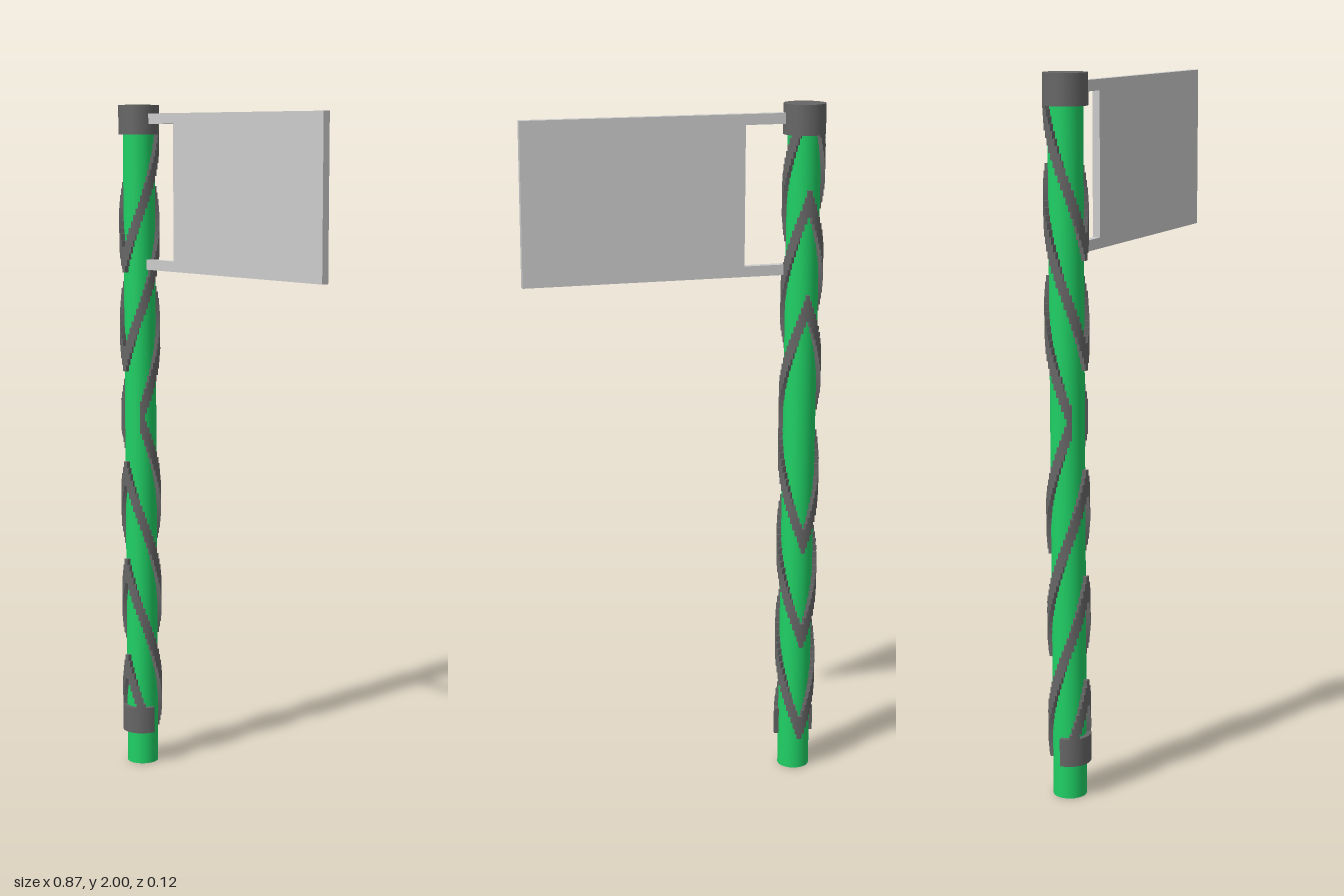
import * as THREE from 'three';
import { mergeGeometries } from 'three/addons/utils/BufferGeometryUtils.js';

const POLE_X = -0.375, INNER = 0.042, OUTER = 0.06;
const STEP = Math.PI / 26;      // angle of one stair step of a band
const RISE = 0.49 / Math.PI;    // climb of a band per radian
const BAND = 0.075;             // vertical width of a band

// Block of a ring around the pole; angles run from the front (+z) towards +x
function ringBlock(a0, a1, y0, y1, segments) {
  const s = new THREE.Shape();
  const q = Math.PI / 2;
  s.absarc(0, 0, OUTER, a0 - q, a1 - q, false);
  s.absarc(0, 0, INNER, a1 - q, a0 - q, true);
  const g = new THREE.ExtrudeGeometry(s, { depth: y1 - y0, bevelEnabled: false, curveSegments: segments });
  return g.rotateX(-Math.PI / 2).translate(0, y0, 0);
}

// Stepped spiral band on one side of the pole, from angle "from" round to the back
function spiralBand(frontY, dir, from, side) {
  const blocks = [];
  for (let a = from; a < Math.PI - 0.001; a += STEP) {
    const end = Math.min(a + STEP, Math.PI);
    const mid = frontY + dir * RISE * (a + end) / 2;
    const y0 = Math.max(mid - BAND / 2, 0.1), y1 = Math.min(mid + BAND / 2, 1.95);
    if (y1 - y0 < 0.005) break;
    blocks.push(side > 0 ? ringBlock(a, end, y0, y1, 2) : ringBlock(-end, -a, y0, y1, 2));
  }
  return mergeGeometries(blocks);
}

export function createModel() {
  const model = new THREE.Group();
  const green = new THREE.MeshStandardMaterial({ color: 0x1fd065 });
  const dark = new THREE.MeshStandardMaterial({ color: 0x666666 });
  const grey = new THREE.MeshStandardMaterial({ color: 0xcccccc });
  const add = (parent, name, geometry, material, x = 0, y = 0, z = 0) => {
    const m = new THREE.Mesh(geometry, material);
    m.name = name;
    m.position.set(x, y, z);
    parent.add(m);
  };

  // Pole with its top cap and the half collar at the front of the foot
  const pole = new THREE.Group();
  pole.name = 'pole';
  pole.position.x = POLE_X;
  model.add(pole);
  add(pole, 'shaft', new THREE.CylinderGeometry(0.047, 0.047, 1.99, 48), green, 0, 0.995);
  add(pole, 'topCap', new THREE.CylinderGeometry(OUTER, OUTER, 0.085, 48), dark, 0, 1.9575);
  add(pole, 'footCollar', ringBlock(-Math.PI / 2, Math.PI / 2, 0.1, 0.18, 32), dark);

  // Bands: mirrored left to right, climbing above the middle and falling below it
  const apex = 0.28 * Math.PI;
  const bands = [
    [0.945, 1, apex], [1.245, 1, 0], [1.54, 1, 0],
    [1.215, -1, apex], [0.915, -1, 0], [0.615, -1, 0], [0.315, -1, 0],
  ];
  for (const side of [1, -1]) {
    for (const [y, dir, from] of bands) {
      add(pole, side > 0 ? 'leftBand' : 'rightBand', spiralBand(y, dir, from, side), dark);
    }
  }

  // Flag panel held by two arms
  const flag = new THREE.Group();
  flag.name = 'flag';
  model.add(flag);
  const panel = new THREE.Shape();
  [[-0.35, 1.52], [0.435, 1.52], [0.435, 1.975], [-0.35, 1.975], [-0.35, 1.945],
    [-0.2, 1.945], [-0.2, 1.55], [-0.35, 1.55]]
    .forEach(([x, y], i) => (i ? panel.lineTo(x, y) : panel.moveTo(x, y)));
  add(flag, 'flagPanel', new THREE.ExtrudeGeometry(panel, { depth: 0.022, bevelEnabled: false }), grey, 0, 0, -0.012);

  return model;
}
